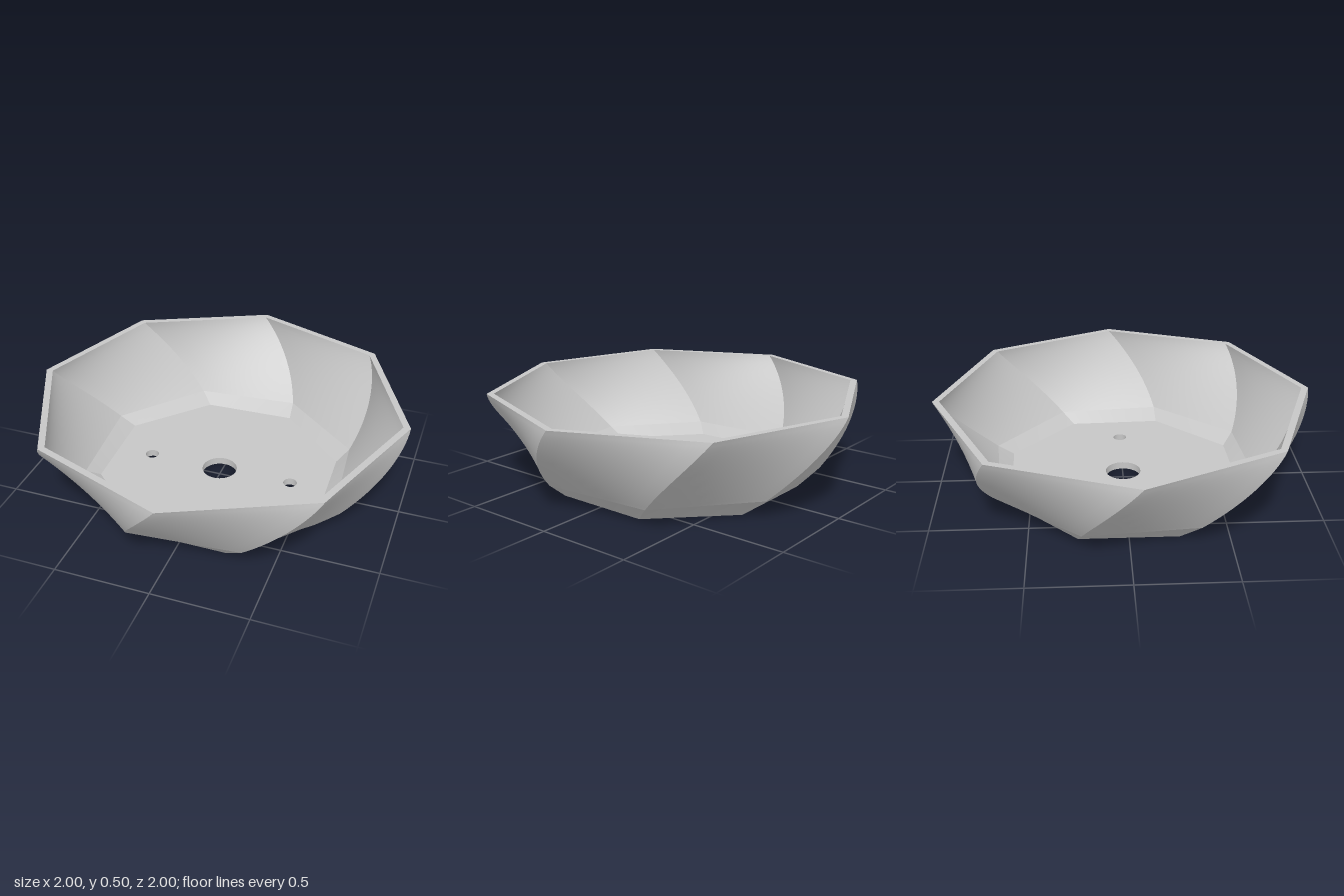
import * as THREE from 'three';

const SIDES = 8, HEIGHT = 0.5, BREAK = 0.095, FLOOR = 0.04, WALL = 0.037, ROWS = 20;
const TWIST = THREE.MathUtils.degToRad(25);
const STEP = (Math.PI * 2) / SIDES;
const HOLES = [[0, 0.095], [-0.405, 0.037], [0.405, 0.037]]; // x, radius

// corner k of the twisted octagon at a given height
function corner(k, radius, y) {
  const a = STEP * (k + 0.5) - TWIST * (y / HEIGHT);
  return new THREE.Vector3(radius * Math.cos(a), y, radius * Math.sin(a));
}

// one twisted wall panel running through [radius, y] rows
function panel(k, rows, columns) {
  const pos = [], index = [], w = columns + 1;
  rows.forEach(([r, y], j) => {
    const a = corner(k, r, y), b = corner(k + 1, r, y);
    for (let i = 0; i <= columns; i++) pos.push(...a.clone().lerp(b, i / columns).toArray());
    if (j === 0) return;
    for (let i = 0; i < columns; i++) {
      const p = (j - 1) * w + i, q = p + w;
      index.push(p, q, p + 1, p + 1, q, q + 1);
    }
  });
  const g = new THREE.BufferGeometry();
  g.setAttribute('position', new THREE.Float32BufferAttribute(pos, 3));
  g.setIndex(index);
  g.computeVertexNormals();
  return g;
}

// flat octagon with drain holes, facing up or down
function plate(radius, y, up) {
  const s = up ? -1 : 1;
  const pts = [];
  for (let k = 0; k < SIDES; k++) {
    const p = corner(k, radius, y);
    pts.push(new THREE.Vector2(p.x, p.z * s));
  }
  const shape = new THREE.Shape(pts);
  for (const [x, r] of HOLES) shape.holes.push(new THREE.Path().absarc(x, 0, r, 0, Math.PI * 2, true));
  return new THREE.ShapeGeometry(shape, 20).rotateX((s * Math.PI) / 2).translate(0, y, 0);
}

export function createModel() {
  const model = new THREE.Group();
  model.name = 'twistedBowl';
  const grey = new THREE.MeshStandardMaterial({ color: 0xc6c6c6 });
  grey.name = 'light grey';

  const add = (name, geometry) => {
    const mesh = new THREE.Mesh(geometry, grey);
    mesh.name = name;
    model.add(mesh);
  };

  // wall profiles, from the foot up the outside and back down the inside
  const outer = [];
  for (let j = 0; j <= ROWS; j++) {
    const u = j / ROWS;
    outer.push([0.77 + 0.23 * (1 - Math.pow(1 - u, 1.55)), BREAK + (HEIGHT - BREAK) * u]);
  }
  const inner = outer.map(([r, y]) => [r - WALL, y]).reverse();
  const parts = {
    outerFoot: [[0.66, 0], [0.715, BREAK / 2], outer[0]],
    outerWall: outer,
    rim: [outer[ROWS], inner[0]],
    innerWall: inner,
    innerFoot: [inner[ROWS], [0.655, FLOOR]],
  };
  for (const [name, rows] of Object.entries(parts)) {
    for (let k = 0; k < SIDES; k++) add(name, panel(k, rows, 8));
  }

  // floor, underside and drain hole walls (profile runs downwards to face inwards)
  add('floor', plate(0.655, FLOOR, true));
  add('underside', plate(0.66, 0, false));
  for (const [x, r] of HOLES) {
    const profile = [new THREE.Vector2(r, FLOOR), new THREE.Vector2(r, 0)];
    add('drainHole', new THREE.LatheGeometry(profile, 40).translate(x, 0, 0));
  }
  return model;
}
